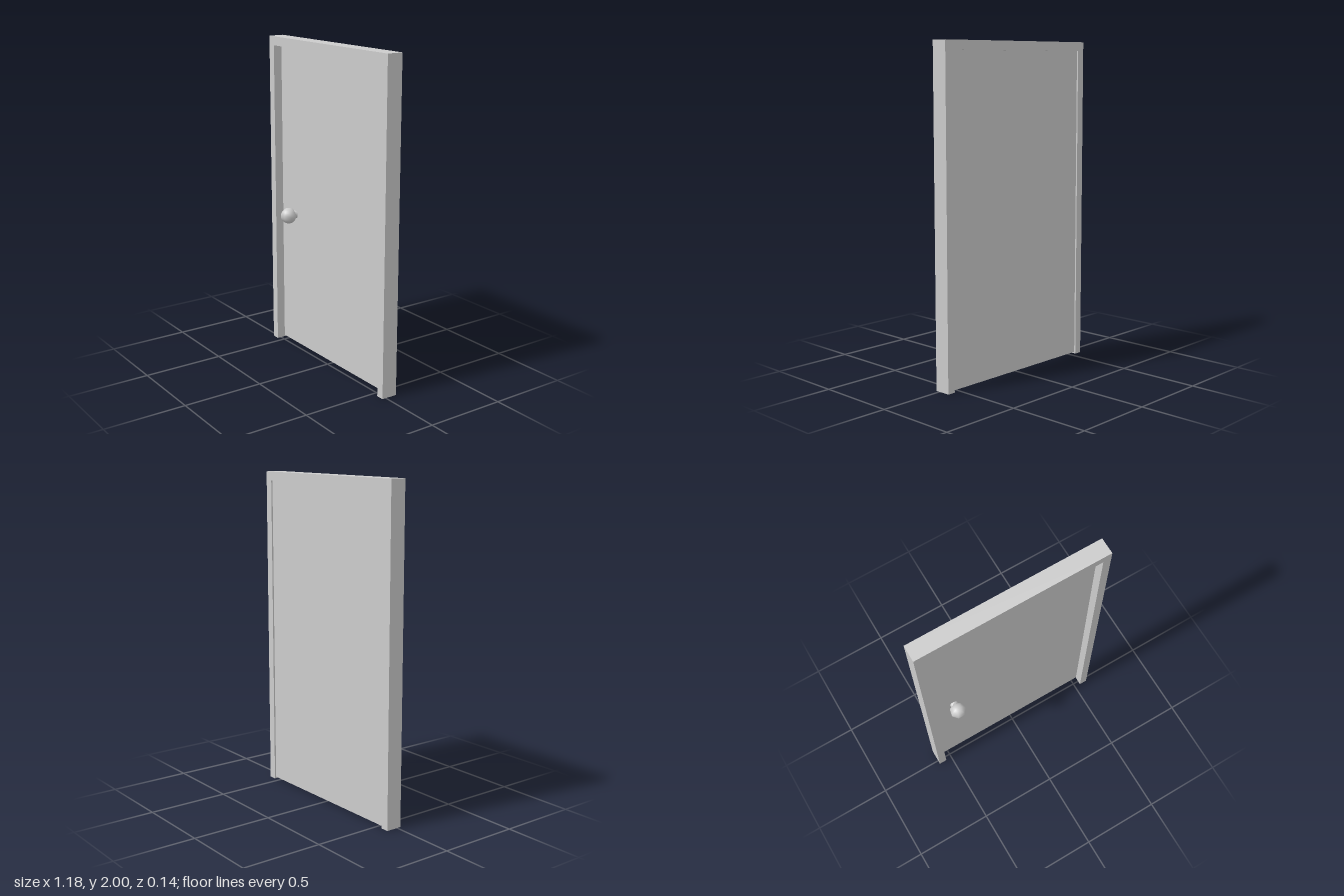
import * as THREE from 'three';

const material = new THREE.MeshStandardMaterial({ color: 0xcccccc });

function addPart(group, name, geometry, x = 0, y = 0, z = 0) {
  const mesh = new THREE.Mesh(geometry, material);
  mesh.name = name;
  mesh.position.set(x, y, z);
  group.add(mesh);
  return mesh;
}

export function createModel() {
  const group = new THREE.Group();
  group.name = 'door';

  const halfWidth = 0.59, height = 2, jamb = 0.05, lintel = 0.055;
  const back = -0.075, depth = 0.1;
  const inner = halfWidth - jamb, top = height - lintel;

  // Frame: an upside-down U, open at the floor
  const outline = new THREE.Shape([
    [-halfWidth, 0], [-inner, 0], [-inner, top], [inner, top],
    [inner, 0], [halfWidth, 0], [halfWidth, height], [-halfWidth, height],
  ].map(([x, y]) => new THREE.Vector2(x, y)));
  addPart(group, 'frame',
    new THREE.ExtrudeGeometry(outline, { depth, bevelEnabled: false }), 0, 0, back);

  // Door leaf: set deep into the frame, just clear of the floor
  const gap = 0.01, leafBack = -0.066, leafFront = -0.03;
  addPart(group, 'doorLeaf',
    new THREE.BoxGeometry(inner * 2, top - gap, leafFront - leafBack),
    0, (top + gap) / 2, (leafFront + leafBack) / 2);

  // Knob: a seven-sided ball on a short stem
  const knobX = -0.396, knobY = 0.883, knobZ = 0.023;
  addPart(group, 'knob',
    new THREE.SphereGeometry(0.05, 7, 16, THREE.MathUtils.degToRad(14)), knobX, knobY, knobZ);
  addPart(group, 'knobStem',
    new THREE.CylinderGeometry(0.025, 0.025, 0.04, 12), knobX, knobY, leafFront + 0.018)
    .rotation.x = Math.PI / 2;

  return group;
}
